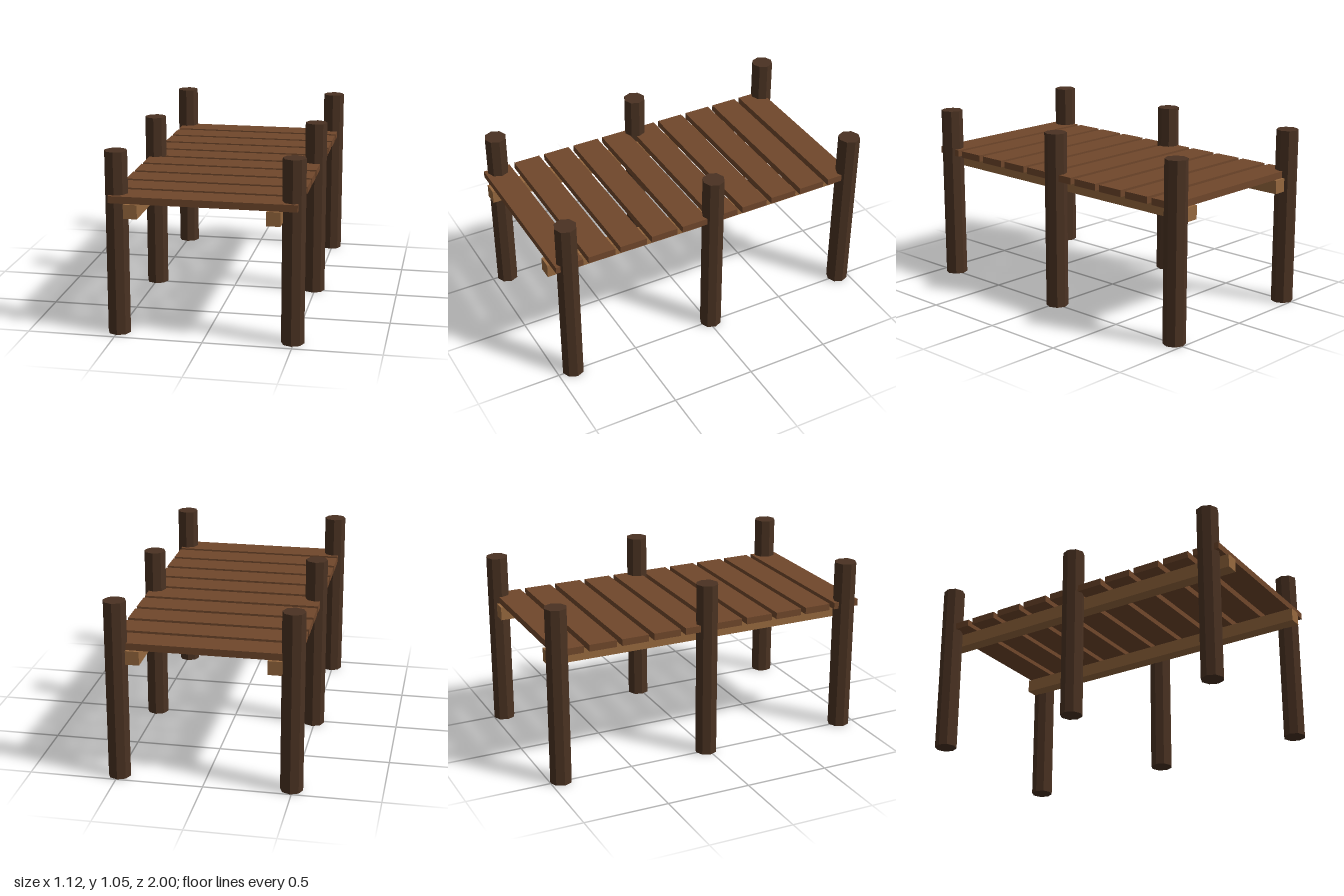
import * as THREE from 'three';

export function createModel() {
  const pier = new THREE.Group();
  pier.name = 'pier';

  const postWood = new THREE.MeshStandardMaterial({ name: 'dark post wood', color: 0x4a3222 });
  const plankWood = new THREE.MeshStandardMaterial({ name: 'plank wood', color: 0x70472b });
  const beamWood = new THREE.MeshStandardMaterial({ name: 'light beam wood', color: 0x96683e });
  for (const m of [postWood, plankWood, beamWood]) m.flatShading = true;

  function add(name, geometry, material, x, y, z) {
    const mesh = new THREE.Mesh(geometry, material);
    mesh.name = name;
    mesh.position.set(x, y, z);
    pier.add(mesh);
  }

  const postGeometry = new THREE.CylinderGeometry(0.065, 0.065, 1.05, 8);
  const beamGeometry = new THREE.BoxGeometry(0.078, 0.08, 1.967);
  const plankGeometry = new THREE.BoxGeometry(1.046, 0.04, 0.164);

  // Posts and the long beam on each side
  for (const [side, s] of [['left', 1], ['right', -1]]) {
    ['front', 'middle', 'back'].forEach((place, i) => {
      add(`${side} ${place} post`, postGeometry, postWood, s * 0.493, 0.525, 0.905 - i * 0.92);
    });
    add(`${side} beam`, beamGeometry, beamWood, s * 0.395, 0.73, 0.0165);
  }

  // Deck planks, front to back
  for (let i = 0; i < 10; i++) {
    add(`plank ${i + 1}`, plankGeometry, plankWood, 0, 0.79, 0.903 - i * 0.1968);
  }

  return pier;
}
